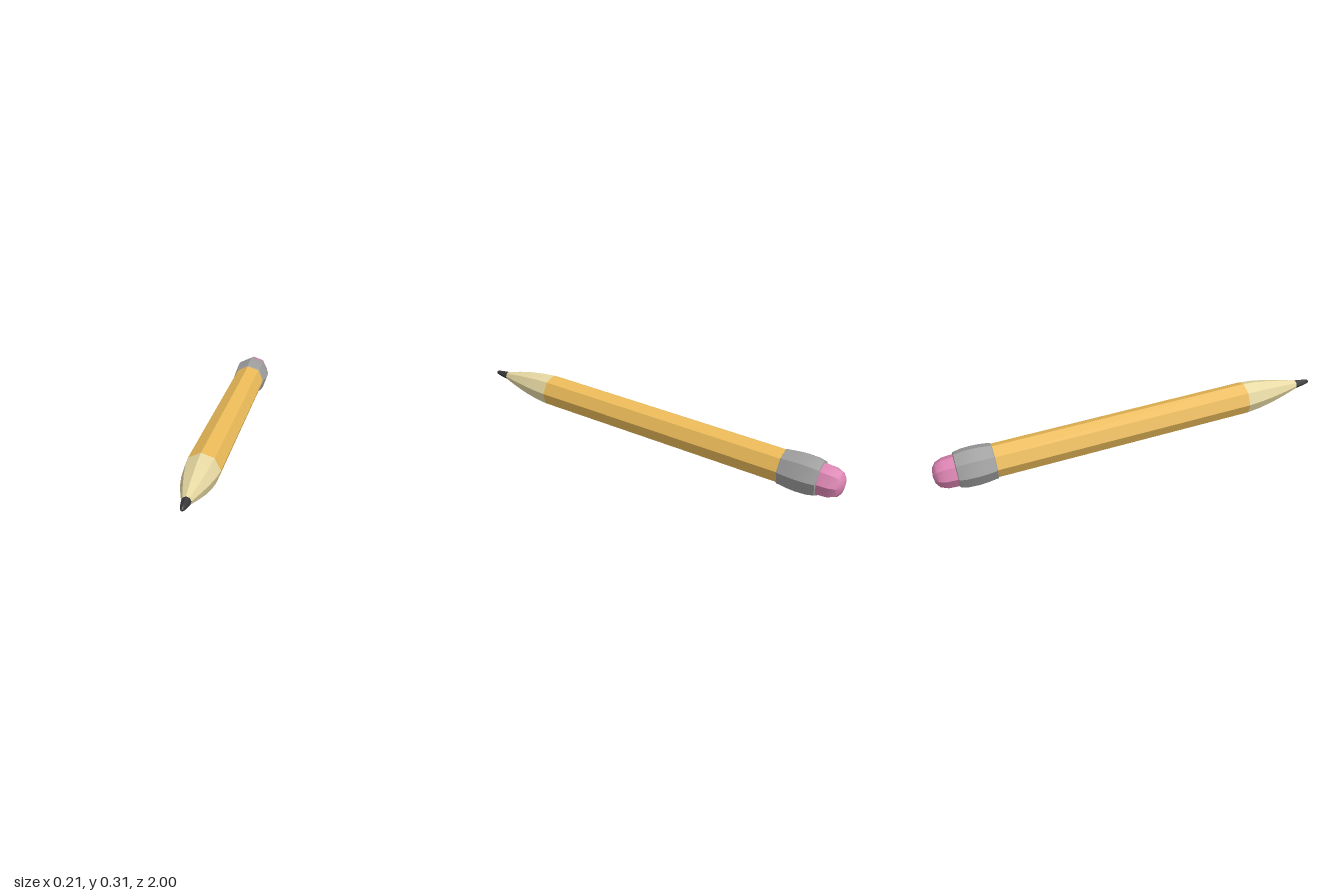
import * as THREE from 'three';
import { toCreasedNormals } from 'three/addons/utils/BufferGeometryUtils.js';

// Eight-sided section of the pencil; profile is [radius, position along axis], back to front
function section(name, color, profile) {
  const points = profile.map(([r, s]) => new THREE.Vector2(r, s));
  const lathe = new THREE.LatheGeometry(points, 8);
  lathe.rotateX(Math.PI / 2); // axis along +z
  lathe.rotateZ(0.065);       // slight roll of the facets
  const mesh = new THREE.Mesh(
    toCreasedNormals(lathe, 0.68), // sharp between sides, smooth along them
    new THREE.MeshStandardMaterial({ color })
  );
  mesh.name = name;
  return mesh;
}

export function createModel() {
  const model = new THREE.Group();
  model.name = 'pencil';

  const pencil = new THREE.Group();
  pencil.name = 'tiltedPencil';
  pencil.add(
    // Rounded rubber end
    section('eraser', 0xd982b0, [[0, -1.004], [0.038, -0.998], [0.062, -0.98], [0.077, -0.945], [0.081, -0.88]]),
    // Bulging metal sleeve with lips that close onto eraser and body
    section('ferrule', 0x9c9c9c, [[0.078, -0.892], [0.089, -0.888], [0.097, -0.85], [0.099, -0.8], [0.097, -0.76], [0.09, -0.705], [0.08, -0.7]]),
    // Painted shaft
    section('body', 0xeaba58, [[0.085, -0.75], [0.083, 0.622]]),
    // Sharpened wood, slightly convex
    section('woodTip', 0xe6d8a2, [[0.083, 0.622], [0.076, 0.69], [0.063, 0.765], [0.045, 0.84], [0.021, 0.925]]),
    // Graphite point
    section('lead', 0x383838, [[0.022, 0.918], [0.02, 0.935], [0.014, 0.975], [0.009, 0.996], [0, 1.004]])
  );

  // Point rises forward and leans a little to one side
  pencil.position.set(0.008, 0.178, 0);
  pencil.lookAt(0.008 + 0.019, 0.178 + 0.092, 1);
  model.add(pencil);
  return model;
}
